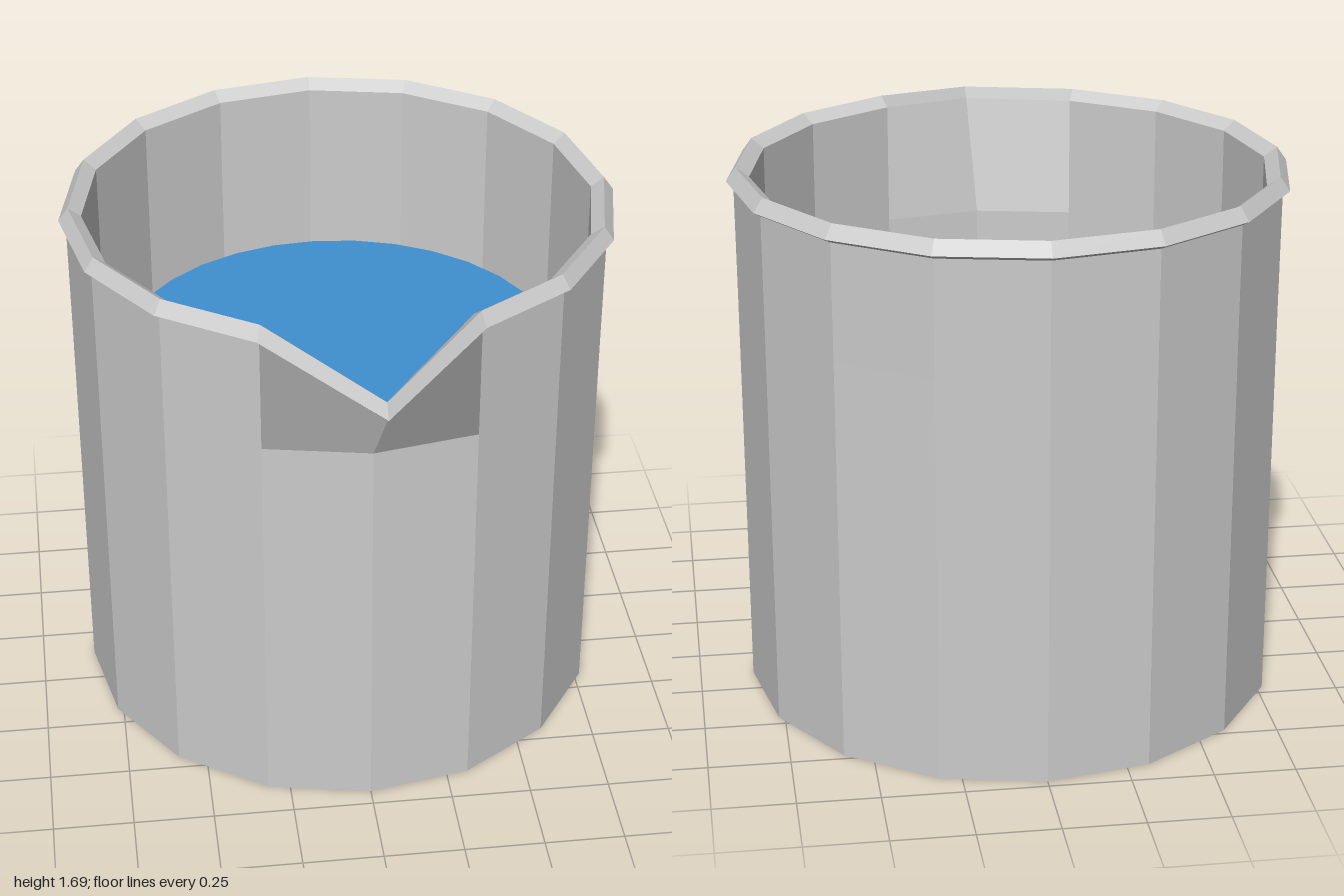
import * as THREE from 'three';

const SIDES = 16;
const CENTRE_Z = -0.14;   // the bowl sits back so that the spout fits in front
const SPOUT_BASE = 1.275; // height at which the spout leaves the wall
const SPOUT_REACH = 0.28;
const SPOUT_DROP = 0.07;

// Point k of the 16-sided ring; the front point is drawn out into the spout.
function ringPoint([r, y], k) {
  const i = k % SIDES;
  const angle = (i / SIDES) * Math.PI * 2;
  const spout = i === 0 && y > SPOUT_BASE;
  const radius = spout ? r + SPOUT_REACH : r;
  return new THREE.Vector3(
    Math.sin(angle) * radius,
    spout ? y - SPOUT_DROP : y,
    Math.cos(angle) * radius
  );
}

// Skin a [radius, height] profile with flat-shaded quads, one normal per quad.
function facetedShell(profile) {
  const positions = [];
  const normals = [];
  for (let j = 0; j < profile.length - 1; j++) {
    const rising = profile[j + 1][1] >= profile[j][1];
    for (let k = 0; k < SIDES; k++) {
      const a = ringPoint(profile[j], k);
      const b = ringPoint(profile[j], k + 1);
      const c = ringPoint(profile[j + 1], k + 1);
      const d = ringPoint(profile[j + 1], k);
      const n = c.clone().sub(a).cross(d.clone().sub(b)).normalize();
      // mirrored diagonals keep the spout symmetric
      const corners = (k < SIDES / 2) === rising
        ? [a, b, d, b, c, d]
        : [a, b, c, a, c, d];
      for (const p of corners) {
        positions.push(p.x, p.y, p.z);
        normals.push(n.x, n.y, n.z);
      }
    }
  }
  const geometry = new THREE.BufferGeometry();
  geometry.setAttribute('position', new THREE.Float32BufferAttribute(positions, 3));
  geometry.setAttribute('normal', new THREE.Float32BufferAttribute(normals, 3));
  return geometry;
}

export function createModel() {
  const model = new THREE.Group();
  model.name = 'beaker';
  const grey = new THREE.MeshStandardMaterial({ color: 0xcccccc });
  const blue = new THREE.MeshStandardMaterial({ color: 0x3f8fd0 });

  function add(name, geometry, material) {
    const mesh = new THREE.Mesh(geometry, material);
    mesh.name = name;
    mesh.position.z = CENTRE_Z;
    model.add(mesh);
    return mesh;
  }

  // Underside and outer wall, with the outside of the spout
  add('outerWall', facetedShell([[0, 0], [0.832, 0], [0.836, SPOUT_BASE], [0.838, 1.635]]), grey);

  // Flared lip with a ridge along its top
  add('rim', facetedShell([[0.838, 1.635], [0.86, 1.648], [0.83, 1.69], [0.79, 1.66]]), grey);

  // Inner wall, inside of the spout and floor
  add('innerWall', facetedShell([[0.79, 1.66], [0.79, SPOUT_BASE], [0.79, 0.05], [0, 0.05]]), grey);

  // Liquid
  const depth = 1.09;
  add('liquid', new THREE.CylinderGeometry(0.7, 0.7, depth, 32), blue).position.y = 0.05 + depth / 2;

  return model;
}
